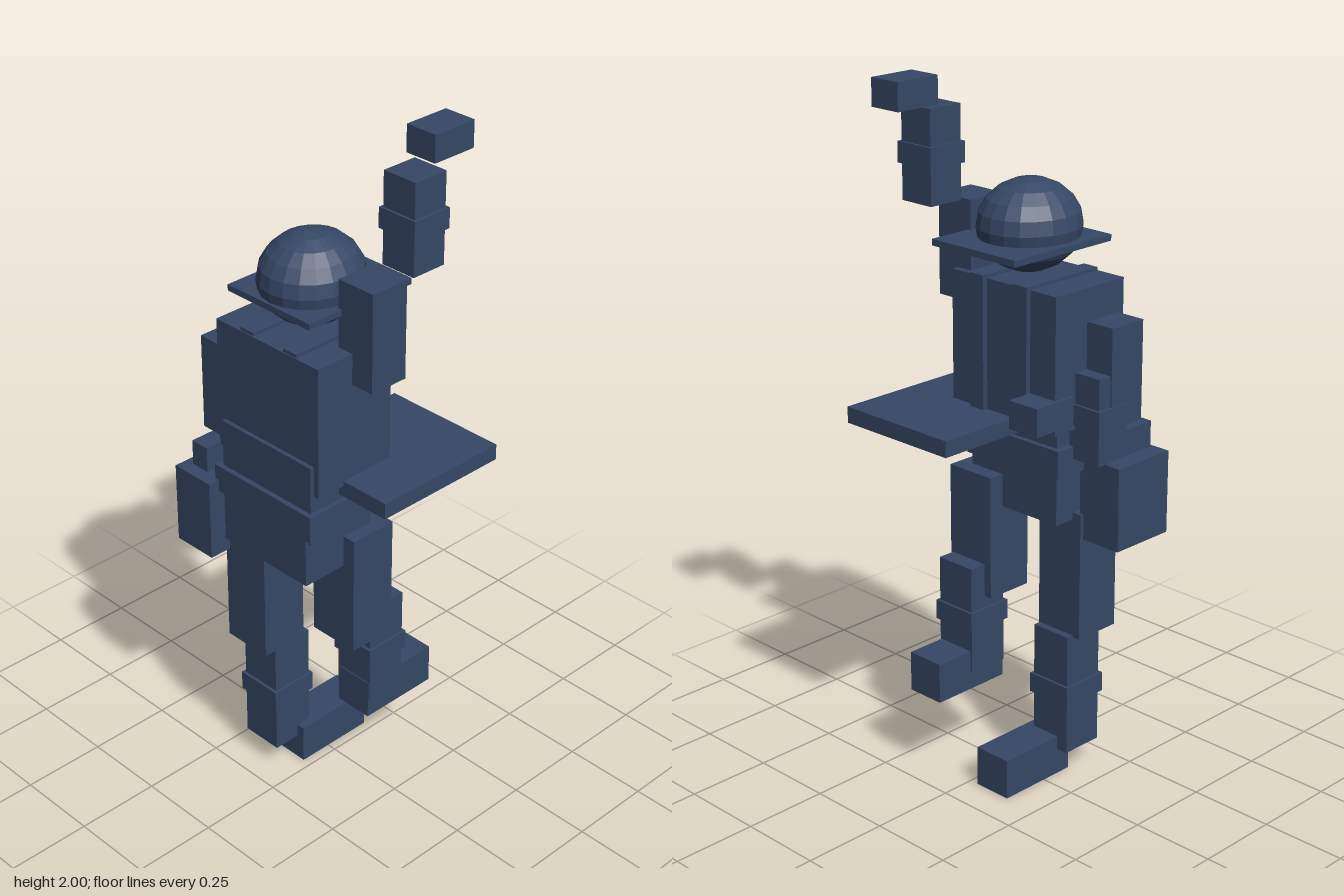
import * as THREE from 'three';

const navy = new THREE.MeshStandardMaterial({ color: 0x364866, flatShading: true });
navy.name = 'navy';

// Box given by its [min, max] range on each axis
function block(parent, name, [x0, x1], [y0, y1], [z0, z1]) {
  const mesh = new THREE.Mesh(new THREE.BoxGeometry(x1 - x0, y1 - y0, z1 - z0), navy);
  mesh.position.set((x0 + x1) / 2, (y0 + y1) / 2, (z0 + z1) / 2);
  mesh.name = name;
  parent.add(mesh);
  return mesh;
}

function part(parent, name) {
  const group = new THREE.Group();
  group.name = name;
  parent.add(group);
  return group;
}

// Leg with its foot sole at height y, heel at x, inner offset z
function leg(parent, name, x, y, z, thighZ, thigh, footZ) {
  const g = part(parent, name);
  const shinX = thigh.shinX;
  block(g, 'thigh', thigh.x, thigh.y, thighZ);
  block(g, 'shin', shinX, thigh.shinY, z);
  block(g, 'kneePad', [shinX[0] - 0.009, shinX[1] + 0.008], thigh.padY, [z[0] - 0.008, z[1] + 0.008]);
  block(g, 'foot', [x, x + 0.25], [y, y + 0.118], footZ);
}

// Arm: upper arm, forearm with elbow band, hand
function arm(parent, name, upper, fore, bandY, hand) {
  const g = part(parent, name);
  block(g, 'upperArm', ...upper);
  block(g, 'forearm', ...fore);
  const [fx, , fz] = fore;
  block(g, 'elbowBand', [fx[0] - 0.008, fx[1] + 0.008], bandY, [fz[0] - 0.008, fz[1] + 0.008]);
  block(g, 'hand', ...hand);
}

export function createModel() {
  const model = new THREE.Group();
  model.name = 'marchingFigure';

  // Trunk
  const trunk = part(model, 'trunk');
  block(trunk, 'chest', [-0.228, 0.035], [1.07, 1.455], [-0.21, 0.175]);
  block(trunk, 'waist', [-0.24, 0], [0.92, 1.16], [-0.185, 0.158]);
  block(trunk, 'belt', [-0.255, 0.016], [0.94, 1.02], [-0.204, 0.171]);
  block(trunk, 'hips', [-0.25, -0.01], [0.79, 0.965], [-0.175, 0.148]);
  for (const z of [0.068, -0.093]) {
    block(trunk, 'strap', [-0.225, 0.05], [1.06, 1.465], [z - 0.025, z + 0.025]);
  }

  // Head and hat brim
  const head = new THREE.Mesh(new THREE.SphereGeometry(1, 20, 10), navy);
  head.scale.set(0.151, 0.127, 0.139);
  head.position.set(-0.067, 1.596, -0.016);
  head.name = 'head';
  model.add(head);
  block(model, 'hatBrim', [-0.22, 0.147], [1.549, 1.567], [-0.17, 0.135]);

  // Arms
  arm(model, 'raisedArm',
    [[-0.107, 0.014], [1.365, 1.65], [0.125, 0.247]],
    [[0.031, 0.141], [1.65, 1.91], [0.143, 0.253]], [1.752, 1.81],
    [[0.127, 0.268], [1.923, 2], [0.127, 0.226]]);
  arm(model, 'bentArm',
    [[-0.207, -0.086], [1.08, 1.362], [-0.3, -0.18]],
    [[-0.152, -0.043], [0.985, 1.23], [-0.296, -0.19]], [1.085, 1.143],
    [[-0.025, 0.115], [1.09, 1.17], [-0.22, -0.118]]);

  // Legs
  leg(model, 'forwardLeg', -0.04, 0.248, [0.054, 0.181], [0.03, 0.188],
    { x: [-0.11, 0.037], y: [0.523, 0.885], shinX: [-0.037, 0.089], shinY: [0.3, 0.62], padY: [0.43, 0.488] },
    [0.06, 0.177]);
  leg(model, 'standingLeg', -0.1, 0, [-0.181, -0.053], [-0.204, -0.05],
    { x: [-0.222, -0.076], y: [0.435, 0.81], shinX: [-0.183, -0.054], shinY: [0.078, 0.44], padY: [0.23, 0.288] },
    [-0.145, -0.028]);

  // Carried tray, side pouch and its handle
  block(model, 'tray', [-0.137, 0.289], [1.038, 1.085], [-0.057, 0.329]);
  block(model, 'pouch', [-0.29, -0.088], [0.735, 0.975], [-0.33, -0.19]);
  block(model, 'pouchHandle', [-0.26, -0.14], [0.985, 1.06], [-0.29, -0.23]);

  return model;
}
